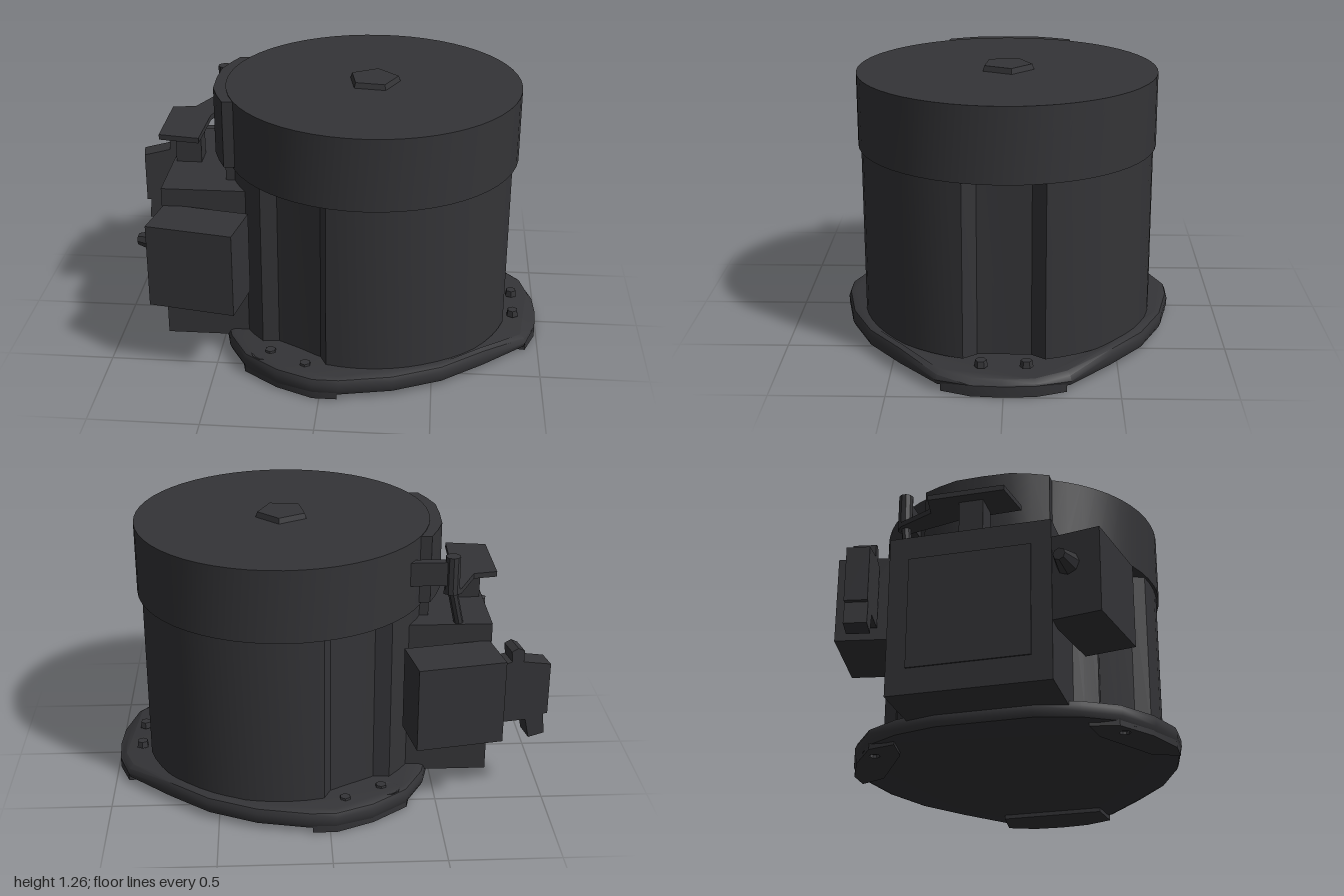
import * as THREE from 'three';
import { toCreasedNormals } from 'three/addons/utils/BufferGeometryUtils.js';

const material = new THREE.MeshStandardMaterial({ color: 0x343437 });
const CX = 0.19; // drum axis

export function createModel() {
  const model = new THREE.Group();

  const add = (name, geometry, x = 0, y = 0, z = 0, crease = 0.6) => {
    const mesh = new THREE.Mesh(toCreasedNormals(geometry, crease), material);
    mesh.name = name;
    mesh.position.set(x, y, z);
    model.add(mesh);
    return mesh;
  };
  const box = (name, x0, x1, y0, y1, z0, z1) =>
    add(name, new THREE.BoxGeometry(x1 - x0, y1 - y0, z1 - z0), (x0 + x1) / 2, (y0 + y1) / 2, (z0 + z1) / 2);

  // Extrudes an [x, z] outline upwards from y0 to y1, with round holes [x, z, r]
  const slab = (outline, y0, y1, bevel = 0, holes = []) => {
    const shape = new THREE.Shape(outline.map(([x, z]) => new THREE.Vector2(x, -z)));
    for (const [x, z, r] of holes) {
      const hole = new THREE.Path();
      hole.absarc(x, -z, r, 0, Math.PI * 2);
      shape.holes.push(hole);
    }
    const g = new THREE.ExtrudeGeometry(shape, {
      depth: y1 - y0 - 2 * bevel, curveSegments: 5, bevelEnabled: bevel > 0,
      bevelThickness: bevel, bevelSize: bevel, bevelOffset: -bevel, bevelSegments: 2,
    });
    return g.rotateX(-Math.PI / 2).translate(0, y0 + bevel, 0);
  };
  // Mirrors a half outline, given from +x to -x at positive z
  const mirrored = (half) => [...half, ...half.filter((p) => p[1] > 0).reverse().map(([x, z]) => [x, -z])];

  // Base flange: rounded triangle, sloping down at the side lug
  const holes = [[-0.27, 0.575, 0.025], [-0.27, -0.575, 0.025]];
  const flange = slab(mirrored([
    [1, 0], [0.99, 0.14], [0.94, 0.29], [0.74, 0.47], [0.55, 0.62], [0.33, 0.72], [0.09, 0.77],
    [-0.03, 0.77], [-0.2, 0.7], [-0.36, 0.58], [-0.45, 0.42], [-0.5, 0.22], [-0.5, 0],
  ]), 0.02, 0.11, 0.03, holes);
  const p = flange.attributes.position;
  for (let i = 0; i < p.count; i++) {
    const over = Math.max(0, p.getX(i) - 0.85);
    if (p.getY(i) > 0.05) p.setY(i, Math.max(0.05, p.getY(i) - over * 0.35));
  }
  add('baseFlange', flange);

  // Feet under the three lugs
  add('sideFoot', slab([[0.78, 0.25], [0.94, 0.27], [0.99, 0.14], [1, 0], [0.99, -0.14], [0.94, -0.27], [0.78, -0.25]], 0, 0.05));
  for (const s of [1, -1]) {
    const outline = [[0.08, 0.765], [-0.03, 0.765], [-0.2, 0.69], [-0.36, 0.57], [-0.39, 0.44], [-0.25, 0.46], [0.03, 0.64]];
    add('cornerFoot', slab(outline.map(([x, z]) => [x, z * s]), 0.005, 0.05, 0, [[-0.27, 0.575 * s, 0.025]]));
  }

  // Drum with three vertical recesses above the lugs
  const R = 0.668, half = 0.27, drum = [];
  for (let k = 0; k < 3; k++) {
    const a = (k * Math.PI * 2) / 3;
    const at = (r, t) => drum.push([CX + r * Math.cos(a + t), -r * Math.sin(a + t)]);
    at(R, -half);
    at(0.61, -half * 0.72);
    at(0.595, 0);
    at(0.61, half * 0.72);
    const span = (Math.PI * 2) / 3 - 2 * half;
    for (let i = 0; i < 14; i++) at(R, half + (span * i) / 14);
  }
  add('drum', slab(drum, 0.1, 0.91), 0, 0, 0, 0.4);

  // Lug bolts in the recesses
  for (let k = 0; k < 3; k++) {
    const a = (k * Math.PI * 2) / 3;
    for (const t of [-0.14, 0.14]) {
      add('lugBolt', new THREE.CylinderGeometry(0.025, 0.03, 0.03, 6), CX + 0.7 * Math.cos(a + t), 0.105, 0.7 * Math.sin(a + t));
    }
  }

  // Lid, its raised side pad and the centre knob
  add('lid', new THREE.CylinderGeometry(0.68, 0.68, 0.335, 56), CX, 1.0675, 0);
  add('lidPad', slab(mirrored([[-0.2, 0], [-0.2, 0.3], [-0.47, 0.3], [-0.505, 0.22], [-0.535, 0.13], [-0.54, 0]]), 0.915, 1.232));
  add('lidKnob', new THREE.CylinderGeometry(0.115, 0.125, 0.03, 5), CX, 1.245, 0).rotation.y = 0.5;

  // Control housing with a panel on its outer face
  box('controlHousing', -0.75, -0.3, 0.08, 0.83, -0.36, 0.37);
  box('housingPanel', -0.757, -0.74, 0.2, 0.72, -0.27, 0.28);

  // Angled side boxes
  for (const s of [1, -1]) {
    box('sideBox', -0.765, -0.365, 0.35, 0.745, s * 0.505 - 0.118, s * 0.505 + 0.118).rotation.y = -s * 0.18;
  }

  // Latch handle on the back side box: block, nub and leg
  const profile = new THREE.Shape([
    [-1, 0.42], [-0.98, 0.42], [-0.99, 0.32], [-0.915, 0.305], [-0.895, 0.4], [-0.77, 0.4], [-0.77, 0.69],
    [-0.815, 0.7], [-0.81, 0.75], [-0.84, 0.765], [-0.87, 0.75], [-0.87, 0.695], [-1, 0.67],
  ].map(([x, y]) => new THREE.Vector2(x + 0.88, y)));
  const latch = new THREE.ExtrudeGeometry(profile, { depth: 0.1, bevelEnabled: false }).translate(0, 0, -0.05);
  add('latchHandle', latch, -0.88, 0, -0.43).rotation.y = 0.18;

  // Small plug on the front side box
  const plug = add('plug', new THREE.CylinderGeometry(0.028, 0.06, 0.12, 8), -0.79, 0.6, 0.435);
  plug.rotation.set(0, -0.18, Math.PI / 2);

  // Lever plate with its posts and pivot rod
  add('leverPlate', slab([
    [-0.79, -0.18], [-0.68, -0.2], [-0.6, -0.37], [-0.56, -0.4], [-0.52, -0.37], [-0.56, -0.2],
    [-0.59, -0.08], [-0.6, 0.2], [-0.79, 0.17],
  ], 0.985, 1.01));
  box('leverPost', -0.735, -0.615, 0.82, 0.99, -0.05, 0.06);
  const rod = (name, a, b, r) => add(name, new THREE.TubeGeometry(
    new THREE.LineCurve3(new THREE.Vector3(...a), new THREE.Vector3(...b)), 1, r, 8), 0, 0, 0);
  rod('pivotLink', [-0.6, 0.82, -0.33], [-0.56, 1, -0.36], 0.022);
  add('pivotRod', new THREE.CylinderGeometry(0.034, 0.034, 0.175, 10), -0.558, 1.075, -0.365);
  box('pivotBracket', -0.54, -0.35, 1.03, 1.14, -0.385, -0.345);

  // Collar joining housing and drum under the lid
  box('housingCollar', -0.47, -0.3, 0.8, 0.92, -0.25, 0.25);

  return model;
}
